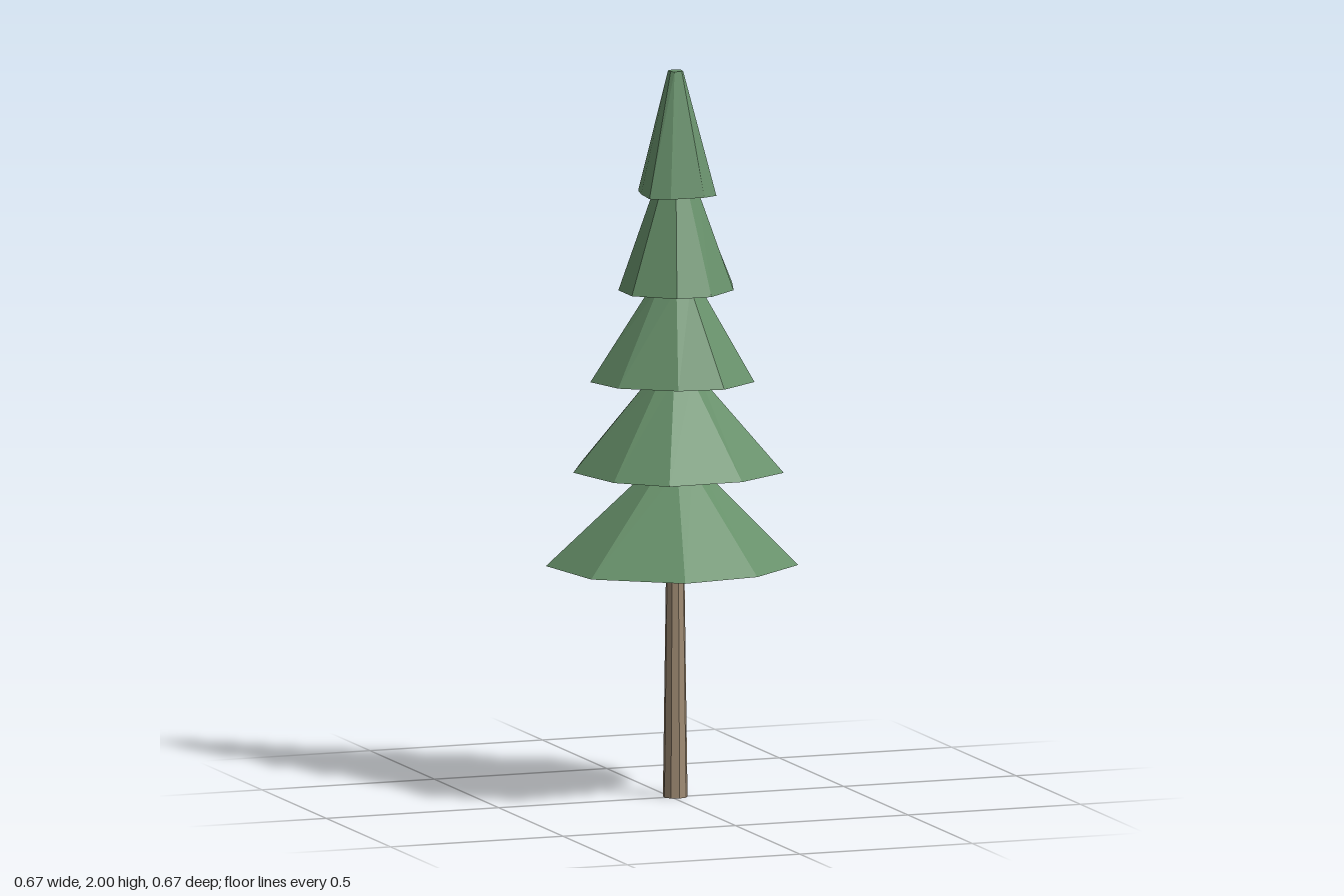
import * as THREE from 'three';

const foliage = new THREE.MeshStandardMaterial({ color: 0x67906a, flatShading: true });
foliage.name = 'foliage green';
const bark = new THREE.MeshStandardMaterial({ color: 0xa08c74, flatShading: true });
bark.name = 'bark brown';

// Each tier: base height, top height, top radius, irregular nine-sided skirt as [x, z]
const TIERS = [
  { y: 0.645, top: 0.91, r: 0.067, rim: [[0.01, -0.338], [0.238, -0.267], [0.337, -0.063], [0.311, 0.153], [0.138, 0.3], [-0.084, 0.335], [-0.299, 0.18], [-0.337, -0.07], [-0.205, -0.254]] },
  { y: 0.9, top: 1.16, r: 0.066, rim: [[0.021, -0.29], [0.198, -0.218], [0.286, -0.06], [0.272, 0.146], [0.113, 0.249], [-0.1, 0.255], [-0.219, 0.141], [-0.263, -0.056], [-0.17, -0.235]] },
  { y: 1.15, top: 1.41, r: 0.066, rim: [[0.021, -0.252], [0.156, -0.186], [0.225, -0.029], [0.198, 0.117], [0.077, 0.207], [-0.05, 0.19], [-0.187, 0.09], [-0.221, -0.036], [-0.124, -0.171]] },
  { y: 1.4, top: 1.67, r: 0.062, rim: [[0.01, -0.175], [0.12, -0.127], [0.194, -0.047], [0.151, 0.081], [0.055, 0.166], [-0.045, 0.166], [-0.143, 0.078], [-0.143, -0.027], [-0.098, -0.117]] },
  { y: 1.66, top: 2, r: 0.021, rim: [[0.015, -0.112], [0.077, -0.079], [0.1, -0.045], [0.107, 0.065], [0.066, 0.083], [-0.031, 0.081], [-0.083, 0.054], [-0.076, -0.03], [-0.062, -0.09]] },
];
const AXIS_X = 0.013;

// Closed skirt: slanted sides, flat underside and small flat top
function skirt({ y, top, r, rim }) {
  const lower = rim.map(([x, z]) => [x, y, z]);
  const upper = rim.map(([x, z]) => {
    const a = Math.atan2(z, x - AXIS_X);
    return [AXIS_X + r * Math.cos(a), top, r * Math.sin(a)];
  });
  const pos = [];
  const tri = (...corners) => corners.forEach((c) => pos.push(...c));
  lower.forEach((b, i) => {
    const j = (i + 1) % lower.length;
    tri(b, upper[i], lower[j]);
    tri(upper[i], upper[j], lower[j]);
    tri([AXIS_X, y, 0], b, lower[j]);
    tri([AXIS_X, top, 0], upper[j], upper[i]);
  });
  const g = new THREE.BufferGeometry();
  g.setAttribute('position', new THREE.Float32BufferAttribute(pos, 3));
  g.computeVertexNormals();
  return g;
}

export function createModel() {
  const tree = new THREE.Group();
  tree.name = 'pineTree';

  // Slightly tapering trunk
  const trunk = new THREE.Mesh(new THREE.CylinderGeometry(0.025, 0.034, 0.66, 9), bark);
  trunk.name = 'trunk';
  trunk.position.set(AXIS_X, 0.33, -0.003);
  tree.add(trunk);

  // Stacked foliage
  TIERS.forEach((tier, i) => {
    const mesh = new THREE.Mesh(skirt(tier), foliage);
    mesh.name = `foliageTier${i + 1}`;
    tree.add(mesh);
  });
  return tree;
}
